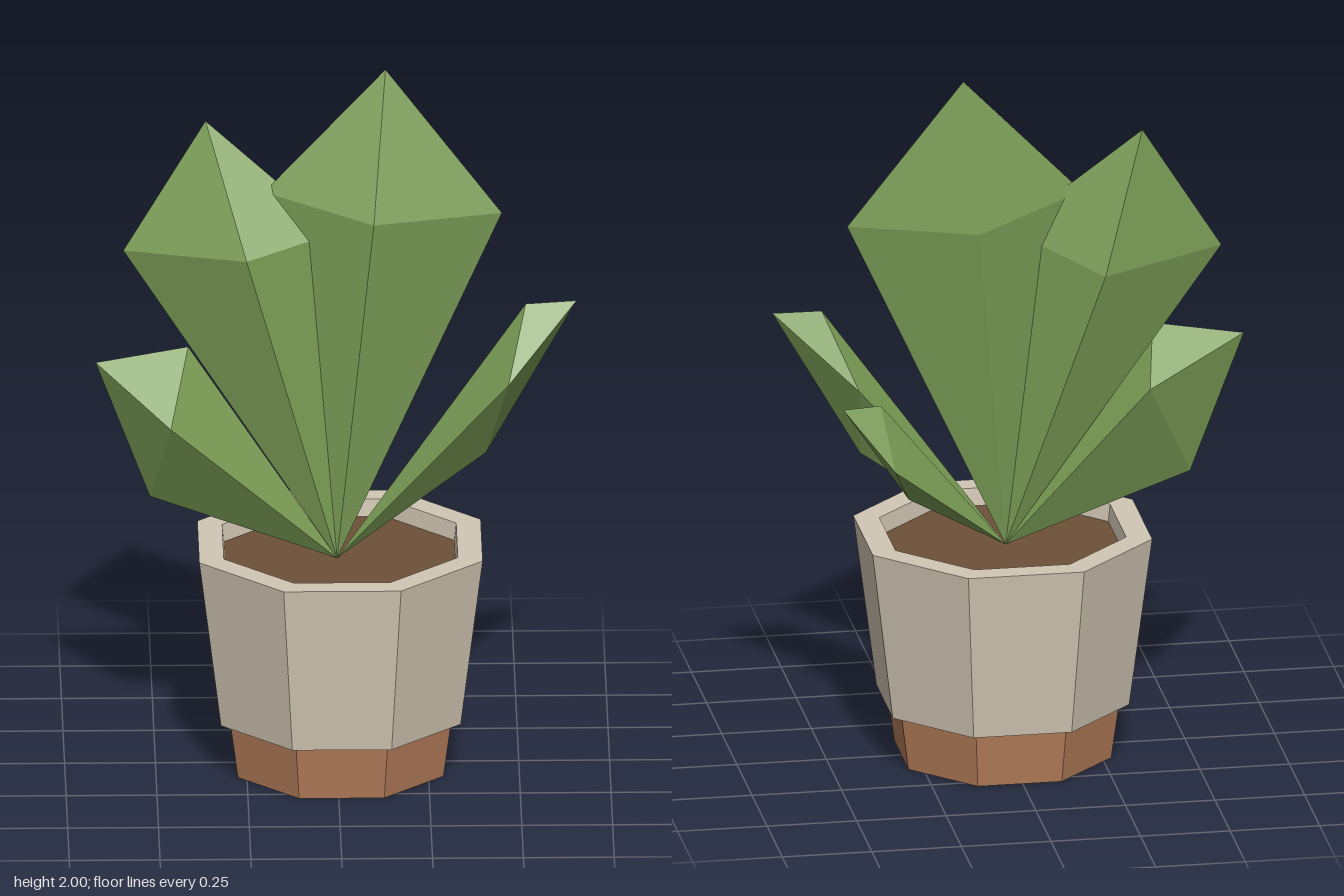
import * as THREE from 'three';

const flat = (name, color) => {
  const m = new THREE.MeshStandardMaterial({ color, flatShading: true });
  m.name = name;
  return m;
};

// Eight-sided turned part; profile radii are measured to the flat sides
function octagon(name, profile, material) {
  const k = 1 / Math.cos(Math.PI / 8);
  const points = profile.map(([r, y]) => new THREE.Vector2(r * k, y));
  const mesh = new THREE.Mesh(new THREE.LatheGeometry(points, 8, Math.PI / 8), material);
  mesh.name = name;
  mesh.position.x = 0.008;
  return mesh;
}

// Faceted leaf: a root, a ring of four corners (front, right, back, left) and a tip
const ROOT = [0, 0.6, 0];
function leaf(name, tip, ring, material) {
  const pos = [];
  ring.forEach((a, i) => {
    const b = ring[(i + 1) % 4];
    pos.push(...a, ...b, ...tip, ...b, ...a, ...ROOT);
  });
  const geo = new THREE.BufferGeometry();
  geo.setAttribute('position', new THREE.Float32BufferAttribute(pos, 3));
  geo.computeVertexNormals();
  const mesh = new THREE.Mesh(geo, material);
  mesh.name = name;
  return mesh;
}

export function createModel() {
  const clay = flat('terracotta', 0xb47d59);
  const stone = flat('stone', 0xd2c7b4);
  const earth = flat('soil', 0x6e5138);
  const green = flat('leafGreen', 0x7a9c55);

  const group = new THREE.Group();
  group.name = 'pottedPlant';

  // Pot: terracotta foot, stone sleeve with a thick rim, soil inside
  group.add(
    octagon('potFoot', [[0, 0], [0.283, 0], [0.305, 0.17]], clay),
    octagon('potSleeve', [[0.29, 0.16], [0.33, 0.16], [0.39, 0.65], [0.322, 0.65], [0.316, 0.59]], stone),
    octagon('soil', [[0.32, 0.6], [0, 0.6]], earth),
  );

  // Leaves fan out from one root
  const leaves = new THREE.Group();
  leaves.name = 'leaves';
  leaves.add(
    leaf('centreLeaf', [0.135, 2, -0.1],
      [[0.1, 1.61, 0.083], [0.455, 1.585, -0.075], [0.1, 1.57, -0.16], [-0.2, 1.65, -0.075]], green),
    leaf('tallSideLeaf', [-0.36, 1.84, -0.13],
      [[-0.25, 1.5, 0.07], [0, 1.54, -0.05], [-0.25, 1.43, -0.172], [-0.587, 1.475, -0.09]], green),
    leaf('lowSideLeaf', [-0.665, 1.18, 0],
      [[-0.46, 1.04, 0.157], [-0.41, 1.225, 0], [-0.38, 1.08, -0.14], [-0.515, 0.785, 0]], green),
    leaf('narrowLeaf', [0.66, 1.335, -0.05],
      [[0.47, 1.15, 0.12], [0.41, 0.9, -0.02], [0.43, 1.12, -0.13], [0.52, 1.33, -0.04]], green),
    leaf('smallBackLeaf', [0.48, 1.08, -0.16],
      [[0.36, 0.92, -0.03], [0.285, 0.78, -0.09], [0.34, 0.9, -0.195], [0.37, 1.075, -0.13]], green),
  );
  group.add(leaves);
  return group;
}
